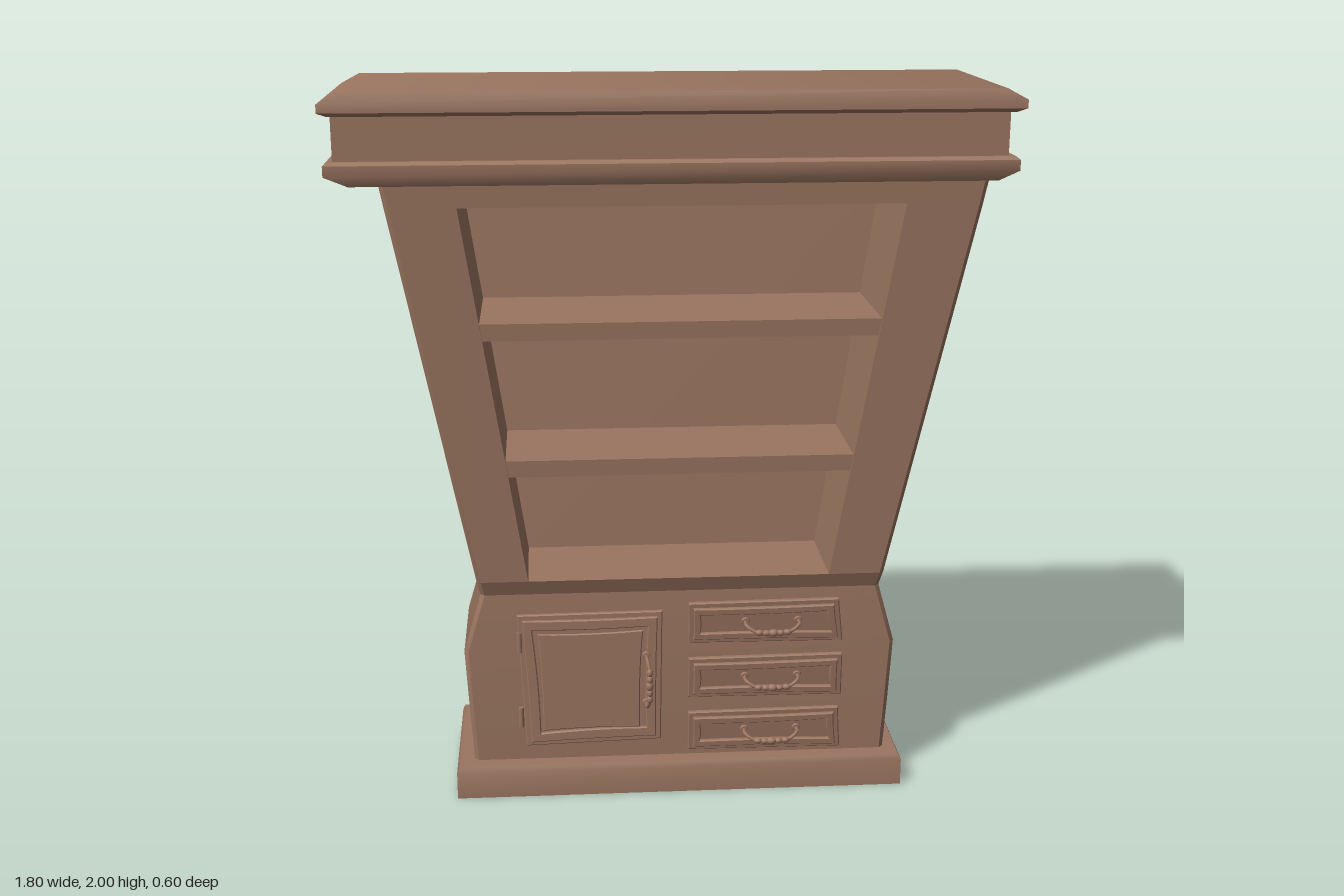
import * as THREE from 'three';
import { toCreasedNormals } from 'three/addons/utils/BufferGeometryUtils.js';

const wood = new THREE.MeshStandardMaterial({ color: 0x9a7560 });

function add(parent, name, geometry) {
  const mesh = new THREE.Mesh(geometry, wood);
  mesh.name = name;
  parent.add(mesh);
  return mesh;
}

// Quads given as four corners, anticlockwise seen from outside
function quadGeometry(quads) {
  const p = [];
  for (const [a, b, c, d] of quads) p.push(...a, ...b, ...c, ...a, ...c, ...d);
  const g = new THREE.BufferGeometry();
  g.setAttribute('position', new THREE.Float32BufferAttribute(p, 3));
  return toCreasedNormals(g, 0.55);
}

// Rows of points, joined row to row
function strip(rows, closed) {
  const quads = [];
  for (let r = 0; r + 1 < rows.length; r++) {
    const a = rows[r], b = rows[r + 1], n = a.length;
    for (let i = 0; i < (closed ? n : n - 1); i++) {
      const j = (i + 1) % n;
      quads.push([a[i], a[j], b[j], b[i]]);
    }
  }
  return quads;
}

// Rectangle rings [x0, x1, zBack, zFront, y] with end caps
function rectLoft(sections, capStart = true, capEnd = true) {
  const rows = sections.map(([x0, x1, z0, z1, y]) => [[x0, y, z1], [x1, y, z1], [x1, y, z0], [x0, y, z0]]);
  const quads = strip(rows, true);
  if (capStart) quads.push([...rows[0]].reverse());
  if (capEnd) quads.push(rows[rows.length - 1]);
  return quadGeometry(quads);
}

// Cabinet outline at a height: [y, left x, right x, zBack, zFront]
const body = [
  [0.085, -0.57, 0.615, -0.17, 0.17],
  [0.25, -0.58, 0.625, -0.172, 0.173],
  [0.43, -0.59, 0.635, -0.172, 0.173],
  [0.6, -0.54, 0.588, -0.16, 0.167],
  [0.645, -0.549, 0.597, -0.163, 0.185],
  [1.7, -0.752, 0.816, -0.226, 0.241],
  [1.775, -0.766, 0.83, -0.23, 0.245],
];
const CH = 0.012; // chamfer of the front corners

// Opening at a height, and the back of the niche
const lerp = THREE.MathUtils.lerp;
const niche = (y) => {
  const t = (y - 0.645) / (1.7 - 0.645);
  return { x0: lerp(-0.405, -0.565, t), x1: lerp(0.44, 0.61, t), zf: lerp(0.185, 0.241, t), zb: lerp(-0.09, -0.14, t) };
};

function buildBody(root) {
  // Sides, back and chamfers
  const rows = body.map(([y, x0, x1, zb, zf]) => [
    [x1 - CH, y, zf], [x1, y, zf - CH], [x1, y, zb], [x0, y, zb], [x0, y, zf - CH], [x0 + CH, y, zf],
  ]);
  add(root, 'cabinetSidesAndBack', quadGeometry(strip(rows, false)));

  // Front face around the opening
  const frontRow = ([y, x0, x1, , zf]) => [[x0 + CH, y, zf], [x1 - CH, y, zf]];
  const f = body.map(frontRow);
  const lo = niche(0.645), hi = niche(1.7);
  const front = [
    ...strip(f.slice(0, 4), false),
    ...strip(f.slice(5), false),
    [f[4][0], [lo.x0, 0.645, lo.zf], [hi.x0, 1.7, hi.zf], f[5][0]],
    [[lo.x1, 0.645, lo.zf], f[4][1], f[5][1], [hi.x1, 1.7, hi.zf]],
  ];
  add(root, 'cabinetFront', quadGeometry(front));
  add(root, 'lipUnderside', quadGeometry(strip([f[3], f[4]], false)));

  // Niche walls, floor, ceiling and back panel
  const ring = (n, y) => ({ fl: [n.x0, y, n.zf], fr: [n.x1, y, n.zf], bl: [n.x0, y, n.zb], br: [n.x1, y, n.zb] });
  const a = ring(lo, 0.645), b = ring(hi, 1.7);
  add(root, 'bookNiche', quadGeometry([
    [a.fl, a.bl, b.bl, b.fl], [a.br, a.fr, b.fr, b.br], [a.bl, a.br, b.br, b.bl],
    [a.fl, a.fr, a.br, a.bl], [b.bl, b.br, b.fr, b.fl],
  ]));

  // Shelves
  for (const [y0, y1] of [[0.953, 1.0], [1.34, 1.387]]) {
    const s = [y0, y1].map((y) => {
      const n = niche(y);
      return [n.x0, n.x1, n.zb, n.zf - 0.008, y];
    });
    add(root, 'shelf', rectLoft(s));
  }
}

// Four-cornered outline with sides bowed inwards by k
function outline(Kind, [bl, br, tr, tl], k = 0) {
  const s = new Kind();
  const c = [(bl[0] + tr[0]) / 2, (bl[1] + tr[1]) / 2];
  s.moveTo(...bl);
  [[bl, br], [br, tr], [tr, tl], [tl, bl]].forEach(([p, q]) => {
    const m = [(p[0] + q[0]) / 2, (p[1] + q[1]) / 2];
    const d = Math.hypot(c[0] - m[0], c[1] - m[1]);
    s.quadraticCurveTo(m[0] + ((c[0] - m[0]) / d) * k, m[1] + ((c[1] - m[1]) / d) * k, ...q);
  });
  return s;
}
const inset = (q, d) => q.map(([x, y], i) => [x + (i === 0 || i === 3 ? d : -d), y + (i < 2 ? d : -d)]);

function extrude(shape, depth, bevel = 0.003) {
  return toCreasedNormals(new THREE.ExtrudeGeometry(shape, {
    depth, bevelEnabled: true, bevelThickness: bevel, bevelSize: bevel, bevelOffset: -bevel, bevelSegments: 1, curveSegments: 6,
  }), 0.5);
}

// Base plate, raised frame and sunken field
function panelFront(parent, name, corners, margin, rail, bow) {
  add(parent, name + 'Plate', extrude(outline(THREE.Shape, corners), 0.008));
  const frame = outline(THREE.Shape, inset(corners, margin), bow / 2);
  frame.holes.push(outline(THREE.Path, inset(corners, margin + rail), bow));
  const mesh = add(parent, name + 'Frame', extrude(frame, 0.008));
  mesh.position.z = 0.01;
}

// Bowed pull with beads, a stem and a ball at each end
function handle(length, reach, sag) {
  const g = new THREE.Group();
  const h = length / 2;
  const curve = new THREE.CatmullRomCurve3([
    [-h, 0.006, 0], [-h, 0.006, reach * 0.6], [-h * 0.65, -sag * 0.7, reach * 0.95], [0, -sag, reach],
    [h * 0.65, -sag * 0.7, reach * 0.95], [h, 0.006, reach * 0.6], [h, 0.006, 0],
  ].map((p) => new THREE.Vector3(...p)));
  add(g, 'bail', new THREE.TubeGeometry(curve, 32, 0.005, 8));
  for (const t of [0.32, 0.41, 0.5, 0.59, 0.68]) {
    const bead = add(g, 'bead', new THREE.SphereGeometry(t === 0.5 ? 0.011 : 0.009, 10, 8));
    bead.position.copy(curve.getPointAt(t));
    bead.scale.x = 1.4;
  }
  for (const s of [-1, 1]) {
    const rose = add(g, 'rosette', new THREE.CylinderGeometry(0.01, 0.013, 0.008, 10));
    rose.rotation.x = Math.PI / 2;
    rose.position.set(s * h, 0.006, 0.003);
  }
  return g;
}

function buildDoor(root) {
  const door = new THREE.Group();
  door.name = 'door';
  door.position.z = 0.171;
  const corners = [[-0.42, 0.14], [-0.035, 0.15], [-0.03, 0.545], [-0.44, 0.542]];
  panelFront(door, 'door', corners, 0.014, 0.028, 0.008);
  const field = add(door, 'doorField', extrude(outline(THREE.Shape, [[-0.372, 0.187], [-0.095, 0.19], [-0.085, 0.49], [-0.383, 0.485]], 0.008), 0.002));
  field.position.z = 0.01;
  const pull = handle(0.145, 0.052, 0);
  pull.name = 'doorHandle';
  pull.rotation.z = Math.PI / 2;
  pull.position.set(-0.07, 0.342, 0.018);
  door.add(pull);
  // Hinges
  for (const y of [0.23, 0.46]) {
    const hinge = add(door, 'hinge', new THREE.CylinderGeometry(0.008, 0.008, 0.06, 8));
    hinge.position.set(-0.434, y, 0.008);
  }
  root.add(door);
}

function buildDrawers(root) {
  [[0.44, 0.575, -0.012], [0.272, 0.407, 0.002], [0.107, 0.24, -0.006]].forEach(([y0, y1, skew]) => {
    const drawer = new THREE.Group();
    drawer.name = 'drawer';
    const h = y1 - y0;
    const corners = [[0.043, 0.004], [0.486, 0], [0.482 + skew, h], [0.043, h - 0.004]];
    panelFront(drawer, 'drawer', corners, 0.014, 0.02, 0.006);
    const pull = handle(0.15, 0.045, 0.01);
    pull.name = 'drawerHandle';
    pull.position.set(0.28, h / 2 - 0.002, 0.01);
    drawer.add(pull);
    drawer.position.set(0, y0, 0.166);
    drawer.rotation.x = 0.12;
    root.add(drawer);
  });
}

export function createModel() {
  const root = new THREE.Group();
  root.name = 'bookcase';

  // Plinth, hollow underneath, with a divider
  add(root, 'plinth', rectLoft([
    [-0.565, 0.605, -0.165, 0.17, 0.075], [-0.6, 0.64, -0.19, 0.2, 0.07], [-0.6, 0.64, -0.19, 0.2, 0],
    [-0.62, 0.66, -0.212, 0.22, 0], [-0.62, 0.66, -0.212, 0.22, 0.078],
    [-0.612, 0.652, -0.204, 0.212, 0.094], [-0.55, 0.6, -0.15, 0.15, 0.094],
  ], true, false));
  const divider = add(root, 'plinthDivider', new THREE.BoxGeometry(0.05, 0.03, 0.38));
  divider.position.set(0.02, 0.06, 0.005);

  buildBody(root);
  buildDoor(root);
  buildDrawers(root);

  // Cornice: lower moulding, frieze and bevelled top
  add(root, 'lowerMoulding', rectLoft([
    [-0.835, 0.84, -0.28, 0.28, 1.763], [-0.895, 0.892, -0.292, 0.295, 1.79],
    [-0.895, 0.892, -0.292, 0.295, 1.818], [-0.885, 0.882, -0.282, 0.285, 1.826],
  ]));
  add(root, 'frieze', rectLoft([[-0.872, 0.866, -0.266, 0.27, 1.82], [-0.872, 0.866, -0.266, 0.27, 1.945]]));
  add(root, 'topBoard', rectLoft([
    [-0.878, 0.878, -0.285, 0.288, 1.94], [-0.902, 0.902, -0.297, 0.3, 1.95],
    [-0.902, 0.902, -0.297, 0.3, 1.972], [-0.85, 0.85, -0.288, 0.29, 2.0],
  ]));
  return root;
}
